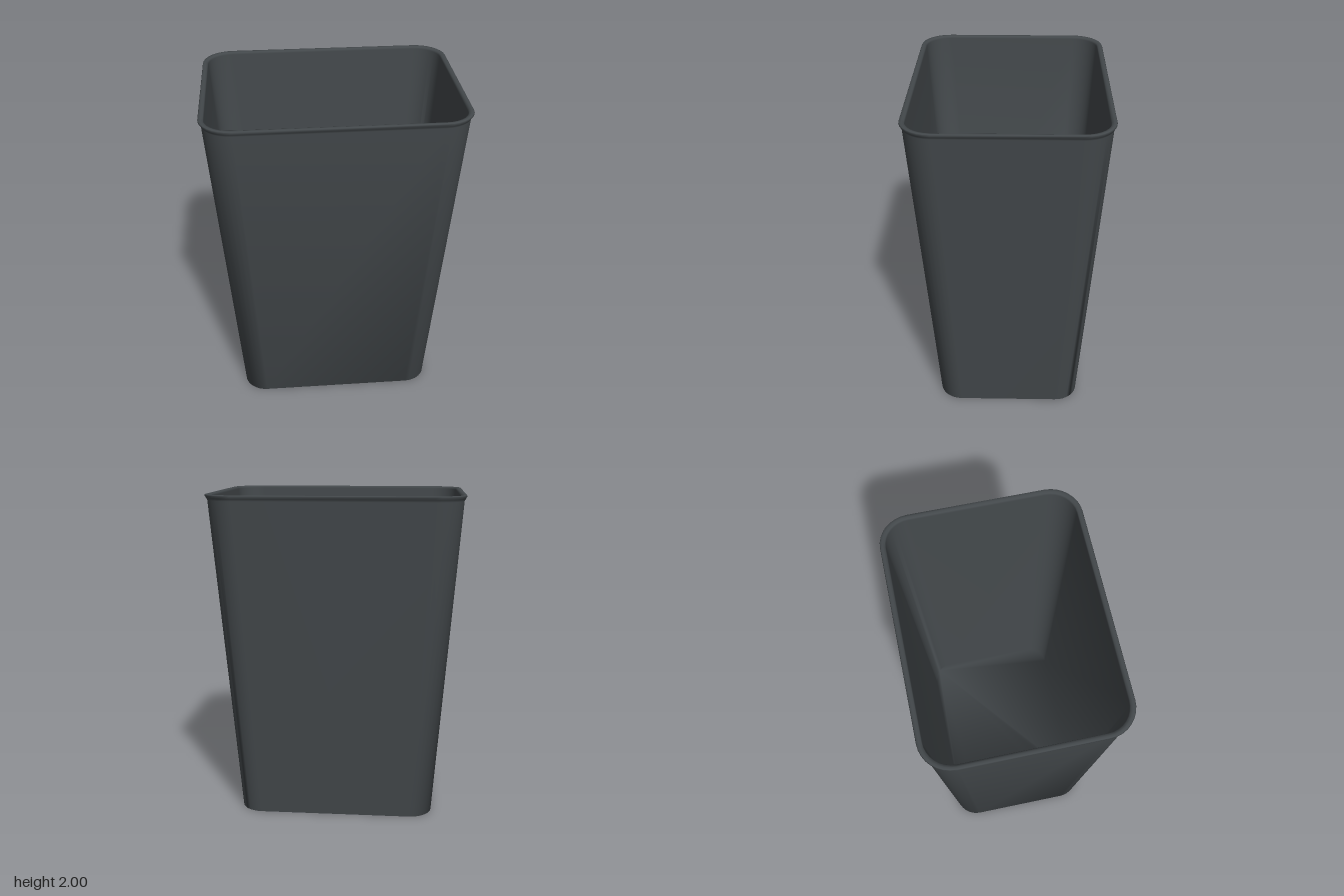
import * as THREE from 'three';

const CORNER_STEPS = 8;

// Rounded-rectangle ring: half width, half depth, corner radius, height
function ring(halfX, halfZ, radius, y) {
  const points = [];
  const corners = [[1, 1], [-1, 1], [-1, -1], [1, -1]];
  corners.forEach(([sx, sz], c) => {
    for (let s = 0; s <= CORNER_STEPS; s++) {
      const a = (c + s / CORNER_STEPS) * Math.PI / 2;
      points.push(
        sx * (halfX - radius) + radius * Math.cos(a),
        y,
        sz * (halfZ - radius) + radius * Math.sin(a)
      );
    }
  });
  return points;
}

// Closed skin through the rings, with a flat cap on the first and last one
function loft(rings) {
  const n = rings[0].length / 3;
  const index = [];
  for (let r = 0; r < rings.length - 1; r++) {
    for (let k = 0; k < n; k++) {
      const a = r * n + k, b = r * n + (k + 1) % n;
      index.push(a, a + n, b, b, a + n, b + n);
    }
  }
  const pivot = 3 * (CORNER_STEPS + 1) + CORNER_STEPS / 2;
  const last = (rings.length - 1) * n;
  for (let k = 1; k < n - 1; k++) {
    const p = (pivot + k) % n, q = (pivot + k + 1) % n;
    index.push(pivot, p, q);
    index.push(last + pivot, last + q, last + p);
  }
  const geometry = new THREE.BufferGeometry();
  geometry.setAttribute('position', new THREE.Float32BufferAttribute(rings.flat(), 3));
  geometry.setIndex(index);
  geometry.computeVertexNormals();
  return geometry;
}

export function createModel() {
  const plastic = new THREE.MeshStandardMaterial({ color: 0x43484b });
  plastic.name = 'charcoal plastic';

  const bin = new THREE.Mesh(loft([
    // outer wall, from the underside up
    ring(0.607, 0.446, 0.14, 0),
    ring(0.756, 0.576, 0.172, 1.965),
    // rolled lip
    ring(0.763, 0.583, 0.178, 1.978),
    ring(0.772, 0.591, 0.185, 1.992),
    ring(0.768, 0.587, 0.181, 1.999),
    ring(0.755, 0.574, 0.168, 2),
    ring(0.743, 0.562, 0.158, 1.996),
    ring(0.738, 0.557, 0.153, 1.985),
    // inner wall, down to the floor
    ring(0.592, 0.431, 0.125, 0.02)
  ]), plastic);
  bin.name = 'binBody';

  const group = new THREE.Group();
  group.name = 'wasteBin';
  group.add(bin);
  return group;
}
